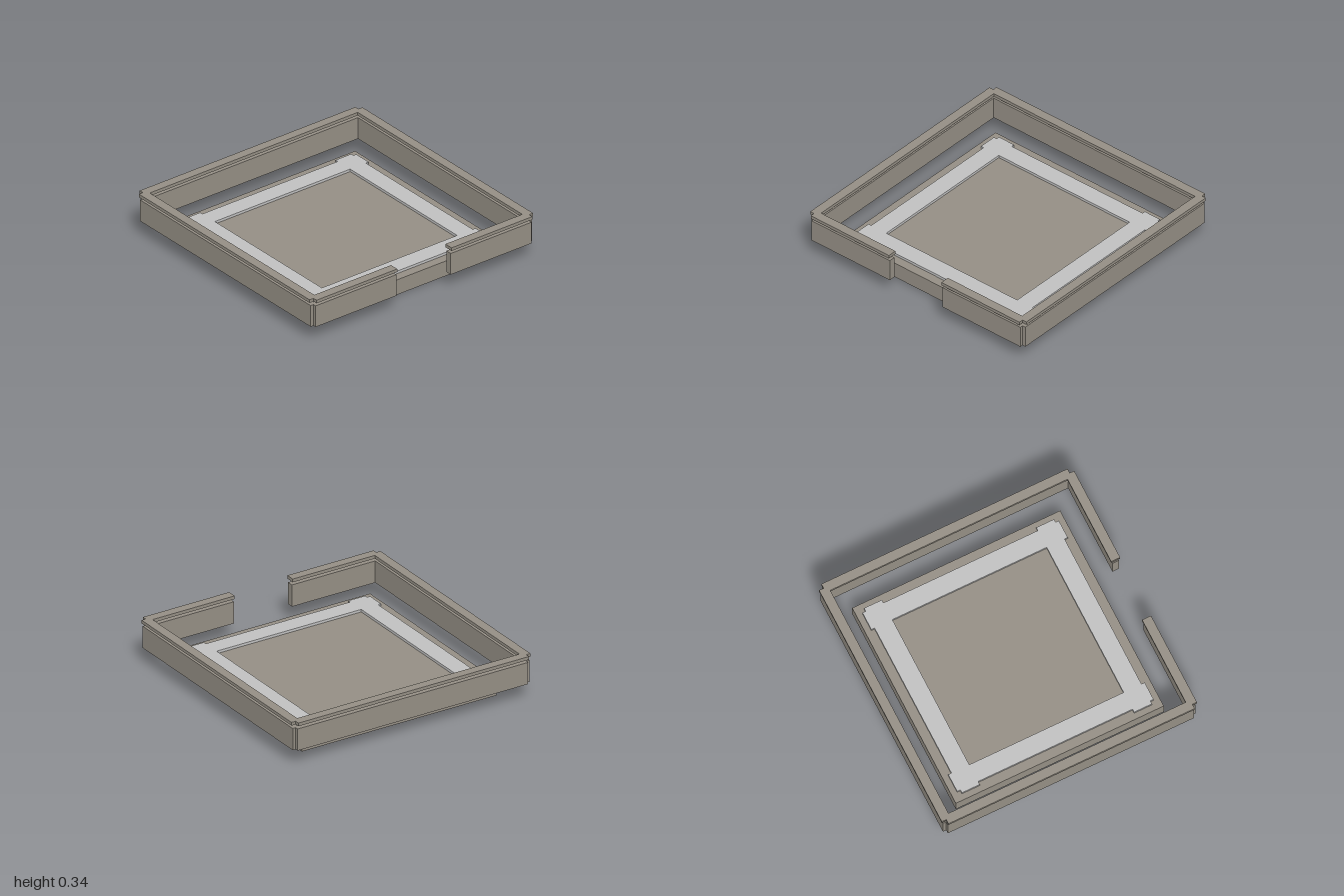
import * as THREE from 'three';

export function createModel() {
  const model = new THREE.Group();
  const stone = new THREE.MeshStandardMaterial({ color: 0x948e84 });
  stone.name = 'warm grey stone';
  const pale = new THREE.MeshStandardMaterial({ color: 0xc0c0c0 });
  pale.name = 'pale grey trim';

  // Box given by its limits on each axis
  function block(name, material, [x0, x1], [y0, y1], [z0, z1], parent = model) {
    const mesh = new THREE.Mesh(new THREE.BoxGeometry(x1 - x0, y1 - y0, z1 - z0), material);
    mesh.position.set((x0 + x1) / 2, (y0 + y1) / 2, (z0 + z1) / 2);
    mesh.name = name;
    parent.add(mesh);
  }

  // Square enclosure of four runs meeting on their centre lines, open at the front
  function enclosure(name, y, thickness) {
    const group = new THREE.Group();
    group.name = name;
    const mid = 0.965, gap = 0.243;
    const across = [mid - thickness / 2, mid + thickness / 2];
    const opposite = [-across[1], -across[0]];
    block(name + 'Back', stone, [-mid, mid], y, opposite, group);
    block(name + 'Left', stone, across, y, [-mid, mid], group);
    block(name + 'Right', stone, opposite, y, [-mid, mid], group);
    block(name + 'FrontLeft', stone, [gap, mid], y, across, group);
    block(name + 'FrontRight', stone, [-mid, -gap], y, across, group);
    model.add(group);
  }

  // Floor slab
  block('floorSlab', stone, [-0.815, 0.815], [0, 0.12], [-0.815, 0.815]);

  // Low wall and the separate rail above it
  enclosure('wall', [0.12, 0.29], 0.05);
  enclosure('topRail', [0.315, 0.34], 0.07);

  // Pale border with notched corners, lying on the slab
  const a = 0.77, b = 0.745, c = 0.605;
  const corner = [[b, c], [a, c], [a, b], [b, b], [b, a], [c, a], [c, b]];
  const outline = [];
  for (let i = 0; i < 4; i++) {
    for (const [x, y] of corner) {
      outline.push(new THREE.Vector2(x, y).rotateAround(new THREE.Vector2(), i * Math.PI / 2));
    }
  }
  const shape = new THREE.Shape(outline);
  shape.holes.push(new THREE.Path([[-c, -c], [-c, c], [c, c], [c, -c]].map(p => new THREE.Vector2(...p))));
  const border = new THREE.Mesh(
    new THREE.ExtrudeGeometry(shape, { depth: 0.02, bevelEnabled: false }).rotateX(-Math.PI / 2), pale);
  border.position.y = 0.12;
  border.name = 'floorBorder';
  model.add(border);

  return model;
}
